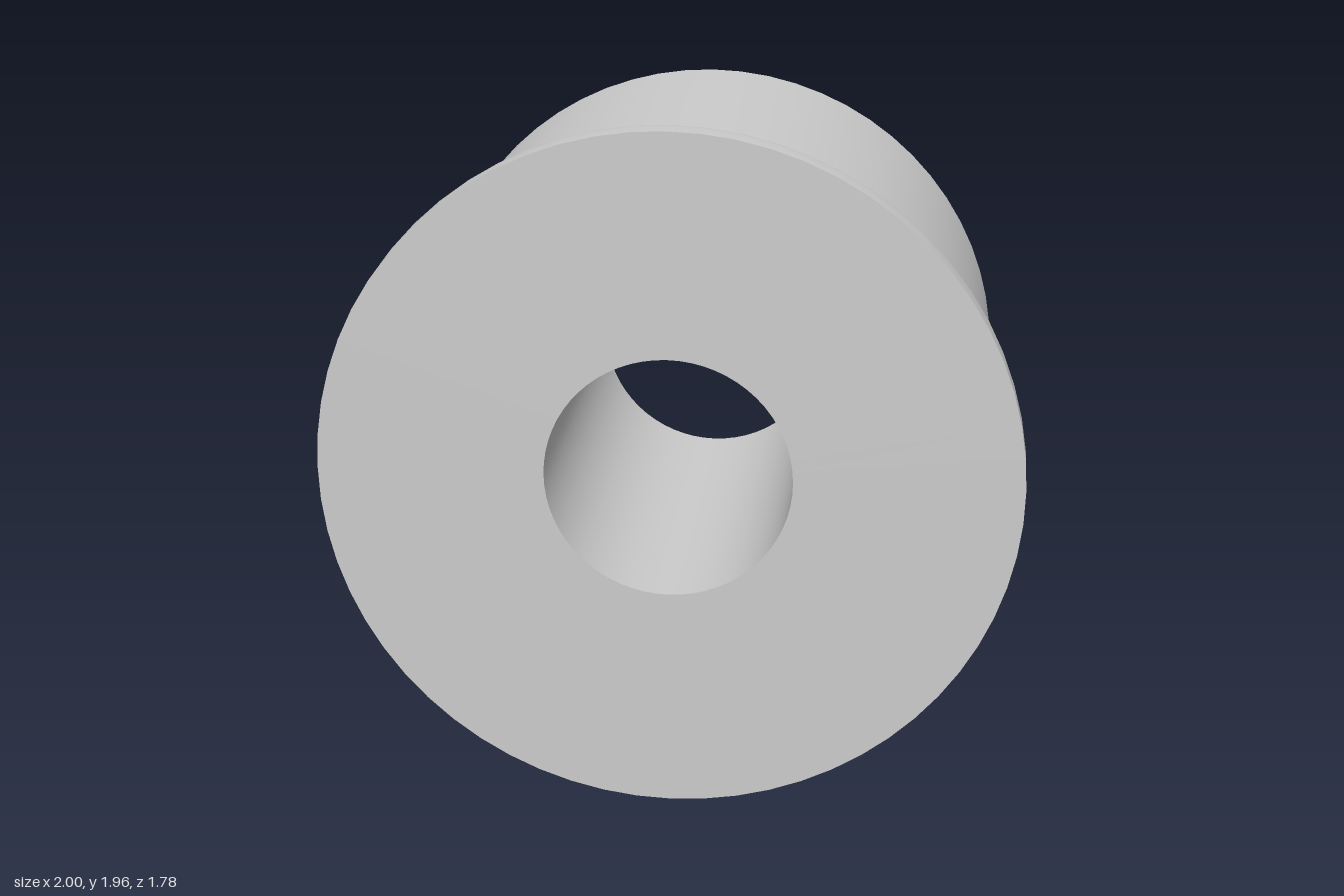
import * as THREE from 'three';
import { toCreasedNormals } from 'three/addons/utils/BufferGeometryUtils.js';

const material = new THREE.MeshStandardMaterial({ color: 0xcccccc });

function part(name, geometry) {
  const mesh = new THREE.Mesh(toCreasedNormals(geometry, 0.5), material);
  mesh.name = name;
  return mesh;
}

// Flanged bushing: closed profile (radius, distance along axis), front face at 0
function bushingGeometry() {
  const flangeR = 0.98, fillet = 0.087, flangeT = 0.147;
  const profile = [
    [0.435, -1.352], [0.75, -1.352], // back face
    [0.87, -1.235], [0.87, -flangeT], // outer chamfer and barrel
  ];
  for (let i = 0; i <= 8; i++) { // rounded rear edge of the flange
    const a = (i / 8) * Math.PI / 2;
    profile.push([
      flangeR - fillet + fillet * Math.sin(a),
      -flangeT + fillet - fillet * Math.cos(a),
    ]);
  }
  profile.push([flangeR, 0], [0.345, 0], // front face
    [0.345, -1.262], [0.435, -1.352]); // bore and countersink
  const points = profile.map(([r, y]) => new THREE.Vector2(r, y));
  return new THREE.LatheGeometry(points, 64).rotateX(Math.PI / 2);
}

// Key: parallel sides, arcs concentric with the bore above and below, rounded end
function keyGeometry() {
  const half = 0.134, outer = 0.75, inner = 0.442, round = 0.03;
  const a = Math.asin(half / outer), b = Math.asin(half / inner), up = Math.PI / 2;
  const shape = new THREE.Shape();
  shape.absarc(0, 0, outer, up - a, up + a, false);
  shape.absarc(0, 0, inner, up + b, up - b, true);
  shape.closePath();
  return new THREE.ExtrudeGeometry(shape, {
    depth: 0.298 - round, curveSegments: 6,
    bevelThickness: round, bevelSize: round, bevelOffset: -round, bevelSegments: 4,
  }).translate(0, 0, -1.65 + round);
}

export function createModel() {
  const model = new THREE.Group();
  model.name = 'keyedBushing';

  // The whole part is turned slightly about the vertical
  const turned = new THREE.Group();
  turned.name = 'turnedAssembly';
  turned.add(part('flangedBushing', bushingGeometry()), part('key', keyGeometry()));
  turned.position.set(0.03, 0.98, 0.757);
  turned.rotation.y = 0.1357;
  model.add(turned);
  return model;
}
